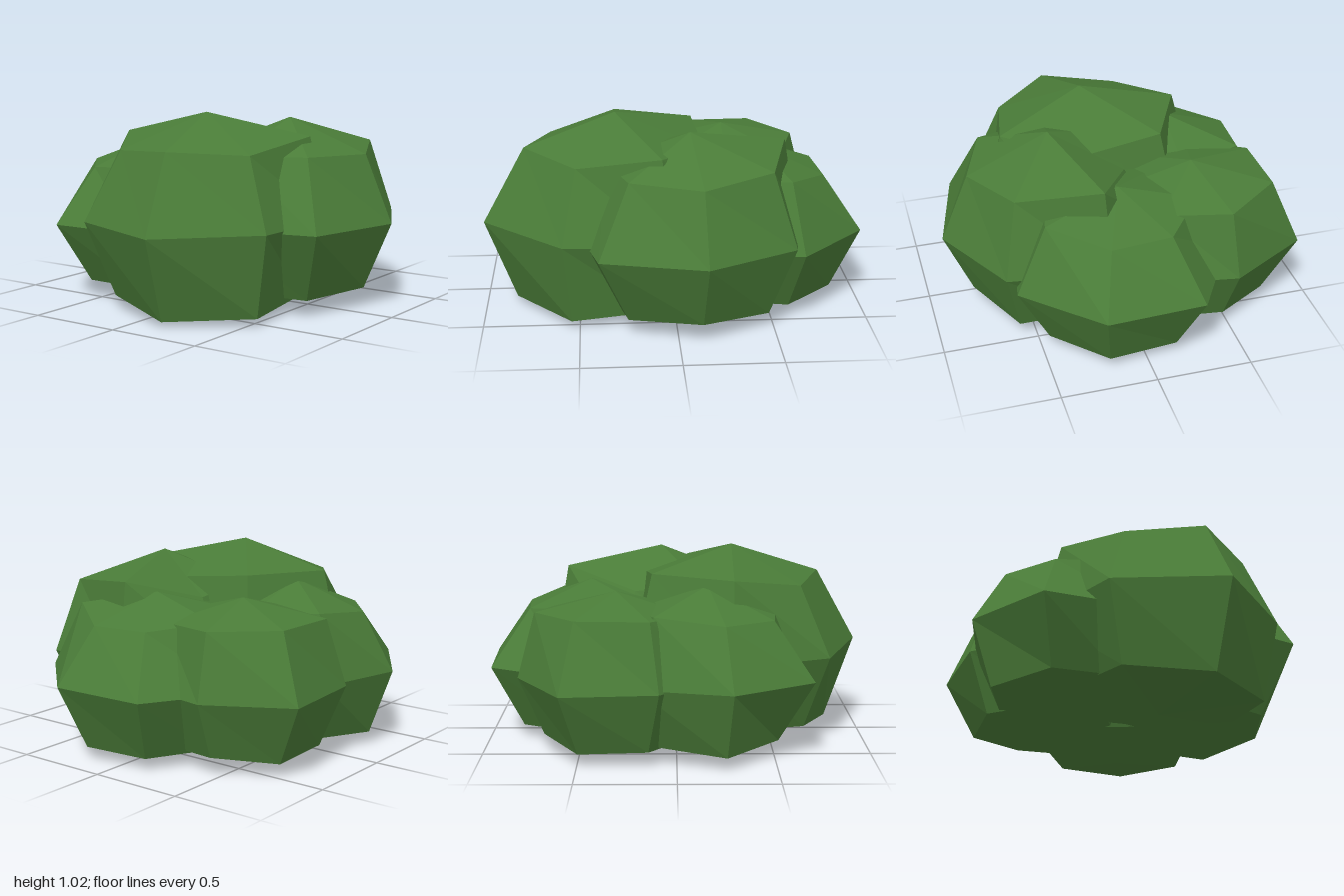
import * as THREE from 'three';

const SIDES = 7;
const SQUASH = 0.8;

const leafGreen = new THREE.MeshStandardMaterial({ color: 0x4a7c38, flatShading: true });
leafGreen.name = 'leafGreen';

// One lumpy seven-sided leaf clump: start is the compass angle of the first
// corner (degrees from +z towards +x); each ring lists a radius per corner.
const clumps = [
  { name: 'frontClump', x: 0.06, y: 0.47, z: 0.3, start: -39.5, rise: 0.55,
    upper: [0.455, 0.49, 0.46, 0.54, 0.48, 0.54, 0.53],
    middle: [0.647, 0.714, 0.626, 0.64, 0.66, 0.66, 0.64],
    lower: [0.49, 0.55, 0.54, 0.5, 0.47, 0.47, 0.47] },
  { name: 'leftClump', x: 0.33, y: 0.455, z: -0.08, start: 43.8, rise: 0.525,
    upper: [0.45, 0.44, 0.48, 0.54, 0.4, 0.44, 0.44],
    middle: [0.665, 0.59, 0.62, 0.62, 0.6, 0.62, 0.62],
    lower: [0.46, 0.44, 0.47, 0.44, 0.44, 0.44, 0.44] },
  { name: 'backClump', x: 0.06, y: 0.4, z: -0.46, start: 108.3, rise: 0.43,
    upper: [0.43, 0.364, 0.372, 0.41, 0.41, 0.41, 0.41],
    middle: [0.6, 0.576, 0.605, 0.58, 0.57, 0.57, 0.58],
    lower: [0.42, 0.42, 0.42, 0.41, 0.41, 0.41, 0.41] },
  { name: 'rightFrontClump', x: -0.38, y: 0.41, z: 0.16, start: -129.5, rise: 0.45,
    upper: [0.43, 0.38, 0.37, 0.4, 0.4, 0.4, 0.4],
    middle: [0.55, 0.55, 0.595, 0.56, 0.56, 0.56, 0.56],
    lower: [0.4, 0.43, 0.4, 0.4, 0.4, 0.4, 0.4] },
  { name: 'rightBackClump', x: -0.38, y: 0.4, z: -0.31, start: -168, rise: 0.43,
    upper: [0.42, 0.43, 0.425, 0.4, 0.4, 0.4, 0.4],
    middle: [0.512, 0.586, 0.53, 0.55, 0.55, 0.55, 0.55],
    lower: [0.38, 0.41, 0.4, 0.4, 0.4, 0.4, 0.4] },
];

function buildClump(c) {
  const geometry = new THREE.SphereGeometry(1, SIDES, 4);
  const pos = geometry.attributes.position;
  const rings = [null, c.upper, c.middle, c.lower, null];
  const slope = [0, 1, 0, -1, 0];
  for (let row = 0; row <= 4; row++) {
    for (let i = 0; i <= SIDES; i++) {
      const angle = THREE.MathUtils.degToRad(c.start + ((i % SIDES) * 360) / SIDES);
      const r = rings[row] ? rings[row][i % SIDES] : 0;
      // the poles are the crown and a base flattened onto the ground
      let y = c.y + slope[row] * SQUASH * r;
      if (row === 0) y = c.y + c.rise;
      if (row === 4) y = 0;
      pos.setXYZ(row * (SIDES + 1) + i, c.x + Math.sin(angle) * r, y, c.z + Math.cos(angle) * r);
    }
  }
  geometry.computeVertexNormals();
  const mesh = new THREE.Mesh(geometry, leafGreen);
  mesh.name = c.name;
  return mesh;
}

export function createModel() {
  const bush = new THREE.Group();
  bush.name = 'bush';
  for (const c of clumps) bush.add(buildClump(c));
  return bush;
}
